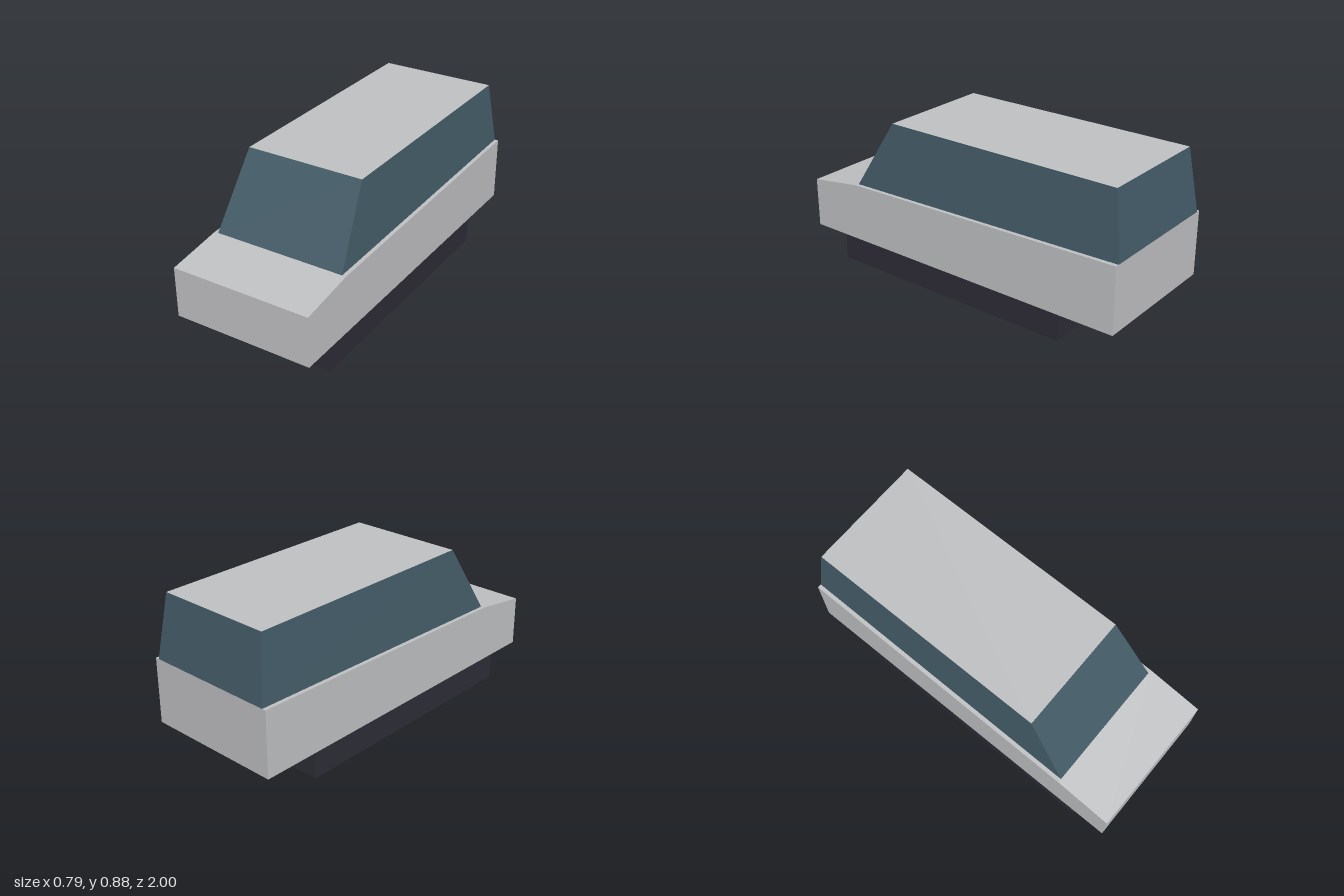
import * as THREE from 'three';

const paint = new THREE.MeshStandardMaterial({ name: 'light grey paint', color: 0xbebfc1, side: THREE.DoubleSide });
const glass = new THREE.MeshStandardMaterial({ name: 'blue grey glass', color: 0x435b67, side: THREE.DoubleSide });
const dark = new THREE.MeshStandardMaterial({ name: 'dark underframe', color: 0x2d2c36, side: THREE.DoubleSide });

// Mesh of flat convex polygons, corners counter-clockwise from outside
function panels(name, material, polygons) {
  const points = [];
  for (const p of polygons) {
    for (let i = 1; i < p.length - 1; i++) points.push(...p[0], ...p[i], ...p[i + 1]);
  }
  const geometry = new THREE.BufferGeometry();
  geometry.setAttribute('position', new THREE.Float32BufferAttribute(points, 3));
  geometry.computeVertexNormals();
  const mesh = new THREE.Mesh(geometry, material);
  mesh.name = name;
  return mesh;
}

// Four corners, front right round to back right; height may differ front to back
const corners = (halfWidth, front, back, yFront, yBack = yFront) => [
  [-halfWidth, yFront, front], [halfWidth, yFront, front],
  [halfWidth, yBack, back], [-halfWidth, yBack, back],
];

// Side walls joining a lower and an upper ring of corners
const walls = (low, high) => low.map((p, i) => {
  const j = (i + 1) % low.length;
  return [p, low[j], high[j], high[i]];
});

export function createModel() {
  const model = new THREE.Group();
  model.name = 'van';
  const sill = 0.158, hoodFront = 0.44, hoodBack = 0.485, tail = 0.525, hoodZ = 0.68;

  // Lower body: walls open underneath, sloping hood and deck
  const w = 0.395;
  const bottom = corners(w, 1, -1, sill);
  const hood = corners(w, 1, hoodZ, hoodFront, hoodBack);
  const deck = corners(w, hoodZ, -1, hoodBack, tail);
  model.add(panels('lowerBody', paint, [
    [bottom[0], bottom[1], hood[1], hood[0]],
    [bottom[1], bottom[2], deck[2], deck[1], hood[1]],
    [bottom[2], bottom[3], deck[3], deck[2]],
    [bottom[3], bottom[0], hood[0], deck[0], deck[3]],
    hood, deck,
  ]));

  // Tapered cabin windows and roof
  const cabinBase = corners(0.373, hoodZ, -1, hoodBack, tail);
  const roof = corners(0.334, 0.44, -0.95, 0.88);
  model.add(panels('cabinWindows', glass, walls(cabinBase, roof)));
  model.add(panels('roof', paint, [roof]));

  // Underframe: an open ring of four walls
  model.add(panels('underframe', dark,
    walls(corners(0.38, 0.8, -0.675, 0), corners(0.38, 0.8, -0.675, sill))));
  return model;
}
